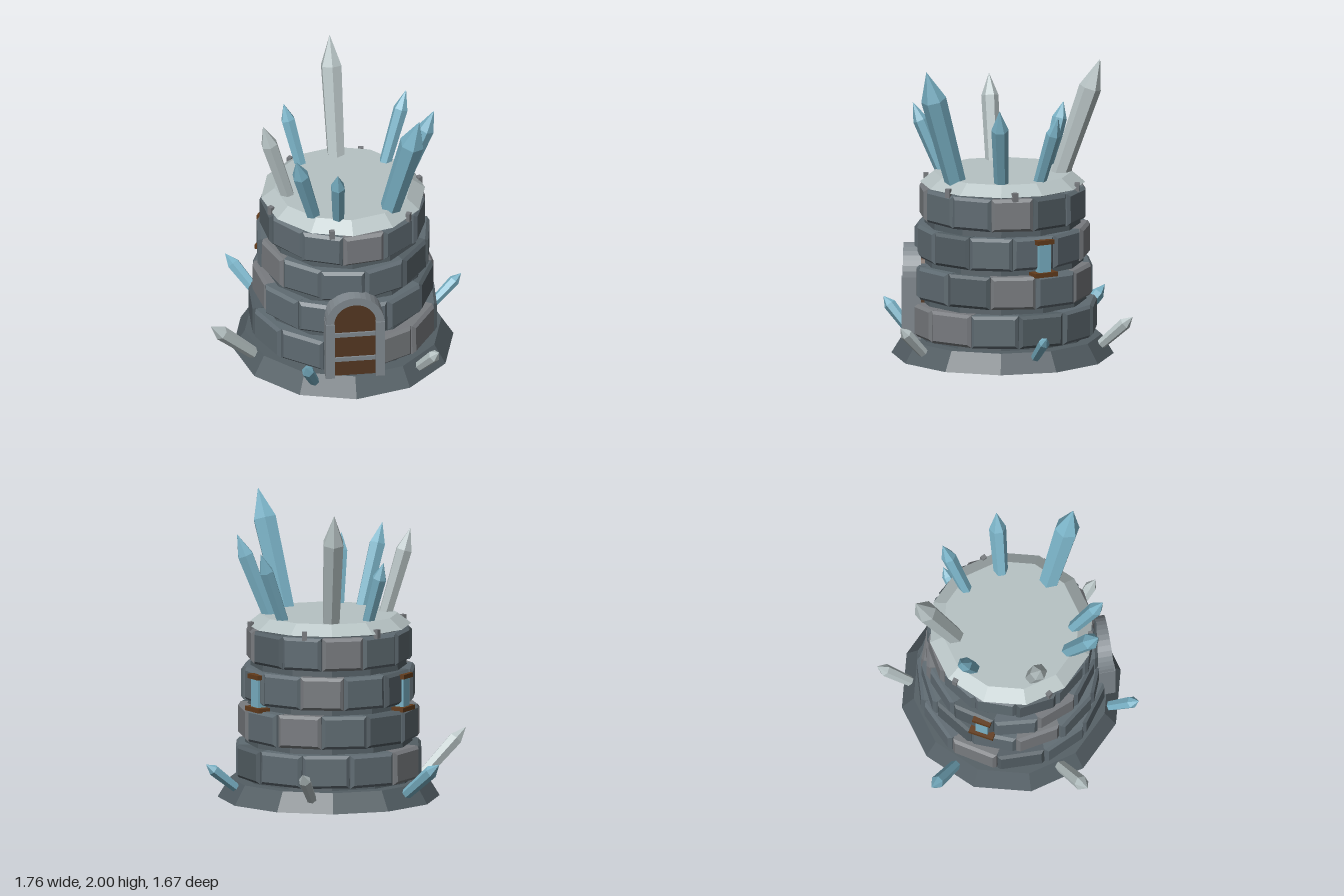
import * as THREE from 'three';

const mat = (name, color) => {
  const m = new THREE.MeshStandardMaterial({ color });
  m.name = name;
  return m;
};

export function createModel() {
  const M = {
    slate: mat('slate stone', 0x5f6b72),
    grey: mat('grey stone', 0x787b7f),
    dark: mat('dark stone', 0x535e64),
    trim: mat('trim stone', 0x7f878d),
    frost: mat('frost', 0xb6c2c3),
    ice: mat('blue crystal', 0x7ab2c6),
    wood: mat('door wood', 0x523621),
    sill: mat('sill wood', 0x633c1c),
  };
  const model = new THREE.Group();
  model.name = 'crystalTower';
  const tower = new THREE.Group();
  tower.name = 'tower';
  tower.position.set(0.05, 0, 0.03);
  model.add(tower);

  let seed = 7;
  const jitter = (a) => {
    seed = (seed * 16807) % 2147483647;
    return (seed / 2147483647 - 0.5) * 2 * a;
  };
  // facet a geometry so every face is flat
  const flat = (g) => {
    const f = g.index ? g.toNonIndexed() : g;
    f.computeVertexNormals();
    return f;
  };
  const add = (parent, name, geo, material, x = 0, y = 0, z = 0) => {
    const mesh = new THREE.Mesh(flat(geo), material);
    mesh.name = name;
    mesh.position.set(x, y, z);
    parent.add(mesh);
    return mesh;
  };
  const box = (parent, name, w, h, d, material, x, y, z) =>
    add(parent, name, new THREE.BoxGeometry(w, h, d), material, x, y, z);

  // plinth, inner wall and frosted roof
  add(tower, 'plinth', new THREE.CylinderGeometry(0.66, 0.74, 0.13, 12), M.dark, 0, 0.065, 0);
  add(tower, 'innerWall', new THREE.CylinderGeometry(0.5, 0.575, 1.05, 12), M.dark, 0, 0.655, 0);
  add(tower, 'frostRoof', new THREE.CylinderGeometry(0.46, 0.55, 0.07, 12), M.frost, 0, 1.2, 0);

  // four courses of chamfered bricks, staggered around the wall
  const stones = { s: M.slate, g: M.grey, d: M.dark };
  const courses = [
    { y: 0.26, r: 0.615, turn: -4, colours: 'sggsdsssgdss' },
    { y: 0.52, r: 0.59, turn: 8, colours: 'ssdgsgsdsgss' },
    { y: 0.778, r: 0.565, turn: -7, colours: 'ssdsssgsdsgs' },
    { y: 1.04, r: 0.54, turn: 8, colours: 'gssgdsgssdss' },
  ];
  const b = 0.02;
  courses.forEach((c, row) => {
    const w = 2 * c.r * Math.tan(Math.PI / 12) * 0.95;
    const x = w / 2 - b, y = 0.11 - b;
    const shape = new THREE.Shape([
      new THREE.Vector2(-x, -y), new THREE.Vector2(x, -y),
      new THREE.Vector2(x, y), new THREE.Vector2(-x, y)]);
    const brick = new THREE.ExtrudeGeometry(shape, {
      depth: 0.08, bevelEnabled: true, bevelSize: b, bevelThickness: b, bevelSegments: 1 });
    brick.translate(0, 0, -0.1);
    for (let i = 0; i < 12; i++) {
      const a = THREE.MathUtils.degToRad(c.turn + i * 30);
      const r = c.r + jitter(0.008);
      const mesh = add(tower, `brick${row + 1}_${i + 1}`, brick, stones[c.colours[i]],
        Math.sin(a) * r, c.y, Math.cos(a) * r);
      mesh.rotation.set(0, a + jitter(0.05), jitter(0.012));
    }
  });

  // small stone chips under the roof edge
  for (const deg of [-72, -15, 48, 100, 160, 215]) {
    const a = THREE.MathUtils.degToRad(deg);
    const chip = box(tower, 'stoneChip', 0.035, 0.06, 0.03, M.grey,
      Math.sin(a) * 0.53, 1.165, Math.cos(a) * 0.53);
    chip.rotation.y = a + 0.3;
  }

  // arched door with stone surround
  const door = new THREE.Group();
  door.name = 'door';
  tower.add(door);
  const panel = new THREE.Shape();
  panel.moveTo(-0.145, 0.13);
  panel.lineTo(0.145, 0.13);
  panel.lineTo(0.145, 0.55);
  panel.absarc(0, 0.55, 0.145, 0, Math.PI, false);
  panel.lineTo(-0.145, 0.13);
  add(door, 'doorPanel', new THREE.ExtrudeGeometry(panel,
    { depth: 0.12, bevelEnabled: false, curveSegments: 8 }), M.wood, 0, 0, 0.515);
  const arch = new THREE.Shape();
  arch.absarc(0, 0.55, 0.195, 0, Math.PI, false);
  arch.absarc(0, 0.55, 0.14, Math.PI, 0, true);
  add(door, 'doorArch', new THREE.ExtrudeGeometry(arch,
    { depth: 0.12, bevelEnabled: false, curveSegments: 8 }), M.trim, 0, 0, 0.54);
  for (const s of [-1, 1])
    box(door, 'doorPost', 0.06, 0.42, 0.13, M.trim, s * 0.168, 0.34, 0.605);
  for (const y of [0.26, 0.45])
    box(door, 'doorStrap', 0.28, 0.03, 0.02, M.trim, 0, y, 0.638);

  // narrow windows at the back on both sides
  for (const s of [-1, 1]) {
    const win = new THREE.Group();
    win.name = s > 0 ? 'leftWindow' : 'rightWindow';
    win.rotation.y = s * Math.PI * 2 / 3;
    tower.add(win);
    box(win, 'windowPane', 0.085, 0.22, 0.08, M.ice, 0, 0.745, 0.545);
    box(win, 'windowSill', 0.17, 0.03, 0.1, M.sill, 0, 0.637, 0.555);
    box(win, 'windowLintel', 0.125, 0.03, 0.1, M.sill, 0, 0.857, 0.55);
  }

  // crystals: [base, tip, radius, material]
  const crystals = [
    // roof ring
    [[0.05, 1.18, -0.34], [0.04, 2.0, -0.62], 0.075, M.frost],
    [[0.32, 1.18, 0.33], [0.5, 2.0, 0.53], 0.085, M.ice],
    [[0.43, 1.18, 0.03], [0.66, 1.77, 0.04], 0.058, M.ice],
    [[0.35, 1.18, -0.21], [0.52, 1.7, -0.35], 0.05, M.ice],
    [[-0.18, 1.18, 0.36], [-0.33, 1.76, 0.55], 0.058, M.ice],
    [[-0.03, 1.18, 0.42], [-0.06, 1.68, 0.63], 0.05, M.ice],
    [[-0.32, 1.18, 0.1], [-0.5, 1.79, 0.13], 0.058, M.frost],
    [[-0.19, 1.18, -0.26], [-0.3, 1.64, -0.37], 0.05, M.ice],
    // foot of the tower
    [[-0.58, 0.09, 0.25], [-0.88, 0.4, 0.38], 0.05, M.frost],
    [[0.5, 0.09, 0.55], [0.61, 0.28, 0.7], 0.042, M.frost],
    [[0.68, 0.1, -0.2], [0.88, 0.27, -0.28], 0.038, M.ice],
    [[-0.22, 0.09, 0.65], [-0.3, 0.31, 0.83], 0.042, M.ice],
    [[-0.45, 0.09, -0.44], [-0.66, 0.32, -0.64], 0.045, M.ice],
    [[0.19, 0.09, -0.63], [0.26, 0.29, -0.84], 0.042, M.frost],
  ];
  const up = new THREE.Vector3(0, 1, 0);
  crystals.forEach(([from, to, r, material], i) => {
    const base = new THREE.Vector3(...from);
    const dir = new THREE.Vector3(...to).sub(base);
    const len = dir.length();
    const profile = [[0, 0], [r * 0.82, 0], [r, len * 0.76], [0, len]]
      .map(([x, y]) => new THREE.Vector2(x, y));
    const mesh = add(model, `crystal${i + 1}`, new THREE.LatheGeometry(profile, 6), material, ...from);
    mesh.quaternion.setFromUnitVectors(up, dir.normalize());
  });

  return model;
}
